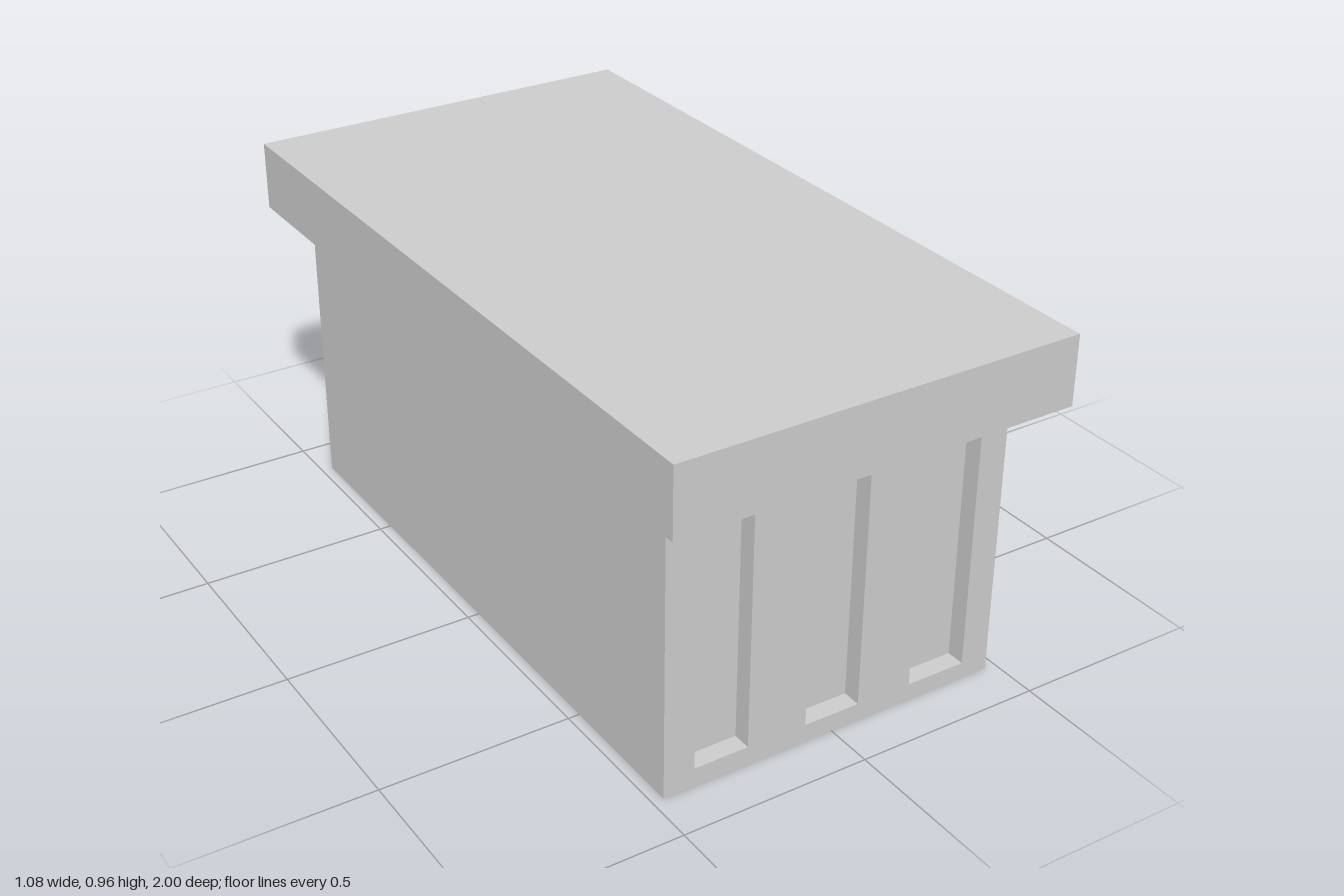
import * as THREE from 'three';

const W = 0.94, L = 1.74, H = 0.775;
const material = new THREE.MeshStandardMaterial({ color: 0xcccccc });

function mesh(name, geometry) {
  const m = new THREE.Mesh(geometry, material);
  m.name = name;
  return m;
}

// Open-fronted box whose faces look inward: the sunken niche behind an opening
function nicheGeometry(x0, x1, y0, y1, depth) {
  const g = new THREE.BoxGeometry(x1 - x0, y1 - y0, depth);
  const index = Array.from(g.index.array);
  index.splice(24, 6);
  g.setIndex(index.reverse());
  g.clearGroups();
  g.computeVertexNormals();
  return g.translate((x0 + x1) / 2, (y0 + y1) / 2, -depth / 2);
}

function rectangle(PathType, x0, x1, y0, y1) {
  const p = new PathType();
  p.moveTo(x0, y0).lineTo(x1, y0).lineTo(x1, y1).lineTo(x0, y1).closePath();
  return p;
}

// Flat wall facing local +z with sunken openings [name, x0, x1, y0, y1, depth]
function wall(name, width, openings) {
  const group = new THREE.Group();
  group.name = name;
  const shape = rectangle(THREE.Shape, -width / 2, width / 2, 0, H);
  for (const [part, x0, x1, y0, y1, depth] of openings) {
    shape.holes.push(rectangle(THREE.Path, x0, x1, y0, y1));
    group.add(mesh(part, nicheGeometry(x0, x1, y0, y1, depth)));
  }
  group.add(mesh(name + 'Surface', new THREE.ShapeGeometry(shape)));
  return group;
}

export function createModel() {
  const model = new THREE.Group();
  model.name = 'building';

  // Three tall windows on each end wall
  const endWindows = [
    ['endWindow', -0.387, -0.24, 0.05, 0.727, 0.05],
    ['endWindow', -0.077, 0.076, 0.047, 0.73, 0.05],
    ['endWindow', 0.229, 0.393, 0.044, 0.733, 0.05],
  ];

  // Entrance side: double doors, two upper windows, four narrow windows each side
  const sideOpenings = [
    ['door', -0.283, -0.009, 0.005, 0.366, 0.037],
    ['door', 0.005, 0.279, 0.003, 0.366, 0.037],
    ['upperWindow', -0.215, -0.08, 0.418, 0.747, 0.05],
    ['upperWindow', 0.075, 0.21, 0.413, 0.747, 0.05],
  ];
  for (const start of [-0.861, 0.299]) {
    for (let i = 0; i < 4; i++) {
      const x = start + i * 0.1445;
      sideOpenings.push(['narrowWindow', x, x + 0.125, 0.066, 0.714, 0.045]);
    }
  }

  const front = wall('frontWall', W, endWindows);
  front.position.z = L / 2;
  const back = wall('backWall', W, endWindows);
  back.position.z = -L / 2;
  back.rotation.y = Math.PI;
  const entrance = wall('entranceWall', L, sideOpenings);
  entrance.position.x = W / 2;
  entrance.rotation.y = Math.PI / 2;
  const plain = wall('plainWall', L, []);
  plain.position.x = -W / 2;
  plain.rotation.y = -Math.PI / 2;
  model.add(front, back, entrance, plain);

  // Underside of the body
  const floor = mesh('floor', new THREE.PlaneGeometry(W, L));
  floor.rotation.x = Math.PI / 2;
  model.add(floor);

  // Overhanging flat roof
  const roof = mesh('roof', new THREE.BoxGeometry(1.076, 0.183, 2));
  roof.position.y = H + 0.0915;
  model.add(roof);

  return model;
}
